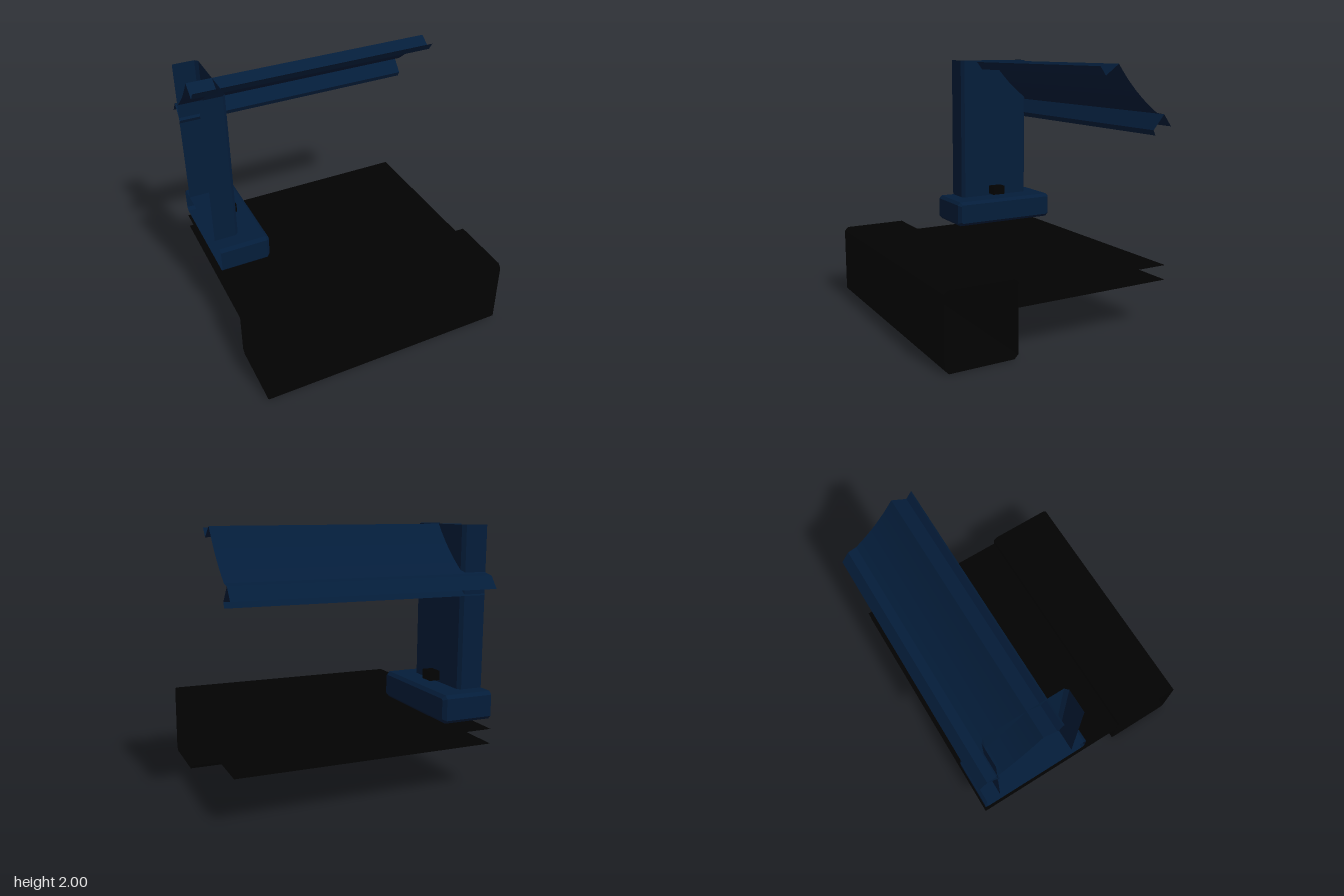
import * as THREE from 'three';

const navy = new THREE.MeshStandardMaterial({ color: 0x041d3a, side: THREE.DoubleSide });
navy.name = 'navy';
const black = new THREE.MeshStandardMaterial({ color: 0x020202, side: THREE.DoubleSide });
black.name = 'black';

// Skin a list of equally long cross-sections with flat faces; optionally cap the last one.
function loft(sections, { closed = false, cap = false } = {}) {
  const pos = [];
  const n = sections[0].length;
  const tri = (a, b, c) => pos.push(...a, ...b, ...c);
  for (let s = 0; s < sections.length - 1; s++) {
    const p = sections[s], q = sections[s + 1];
    for (let i = 0; i < (closed ? n : n - 1); i++) {
      const j = (i + 1) % n;
      tri(p[i], q[i], q[j]);
      tri(p[i], q[j], p[j]);
    }
  }
  if (cap) {
    const e = sections[sections.length - 1];
    for (let i = 1; i < n - 1; i++) tri(e[0], e[i], e[i + 1]);
  }
  const g = new THREE.BufferGeometry();
  g.setAttribute('position', new THREE.Float32BufferAttribute(pos, 3));
  g.computeVertexNormals();
  return g;
}

// Place a [z, y] profile at a given x.
const atX = (profile, x) => profile.map(([z, y]) => [x, y, z]);
// Place an [x, z] profile at a given y.
const atY = (profile, y) => profile.map(([x, z]) => [x, y, z]);

// Rectangle with chamfered corners as a [z, y] loop.
function chamferedRect(z0, z1, y0, y1, c) {
  return [
    [z1 - c, y0], [z0 + c, y0], [z0, y0 + c], [z0, y1 - c],
    [z0 + c, y1], [z1 - c, y1], [z1, y1 - c], [z1, y0 + c],
  ];
}

export function createModel() {
  const model = new THREE.Group();
  model.name = 'shelteredPlatform';
  const add = (name, geometry, material) => {
    const m = new THREE.Mesh(geometry, material);
    m.name = name;
    model.add(m);
    return m;
  };
  const runX = (profile, closed) => loft([atX(profile, -1), atX(profile, 1)], { closed });

  // Hollow front beam, open at both ends
  add('frontBeam', runX(chamferedRect(0.37, 0.93, 0, 0.575, 0.03), true), black);

  // Two thin decks behind the beam
  for (const [name, y] of [['upperDeck', 0.482], ['lowerDeck', 0.367]]) {
    add(name, runX([[0.37, y], [-0.93, y]]), black);
  }

  // Chamfered plinth, open on the outer side
  add('plinth', loft([
    atX(chamferedRect(-0.92, 0.022, 0.555, 0.77, 0.025), -1),
    atX(chamferedRect(-0.92, 0.022, 0.555, 0.77, 0.025), -0.62),
    atX(chamferedRect(-0.895, -0.003, 0.58, 0.745, 0.012), -0.593),
  ], { closed: true, cap: true }), navy);

  // Channel-shaped post, open on the outer side and at the top
  const channel = [
    [-1, -0.12], [-0.825, -0.12], [-0.8, -0.145],
    [-0.8, -0.755], [-0.825, -0.78], [-1, -0.78],
  ];
  add('post', loft([atY(channel, 0.77), atY(channel, 2)]), navy);

  // Small block on the inner face of the post
  const block = add('block', new THREE.BoxGeometry(0.085, 0.075, 0.115), black);
  block.position.set(-0.757, 0.823, -0.448);

  // Folded canopy sheet: front lip, gutter, ridge, hollow slope and rear drip edge
  const slope = new THREE.QuadraticBezierCurve(
    new THREE.Vector2(-0.43, 2), new THREE.Vector2(-0.58, 1.79), new THREE.Vector2(-0.79, 1.645),
  ).getPoints(8).map((p) => [p.x, p.y]);
  add('canopy', runX([
    [-0.27, 1.985], [-0.28, 1.975], [-0.32, 1.92], ...slope, [-0.86, 1.632], [-0.93, 1.54],
  ]), navy);

  // Rail hanging below the rear of the canopy
  add('canopyRail', runX([[-0.86, 1.632], [-0.765, 1.52], [-0.785, 1.48]]), navy);

  return model;
}
